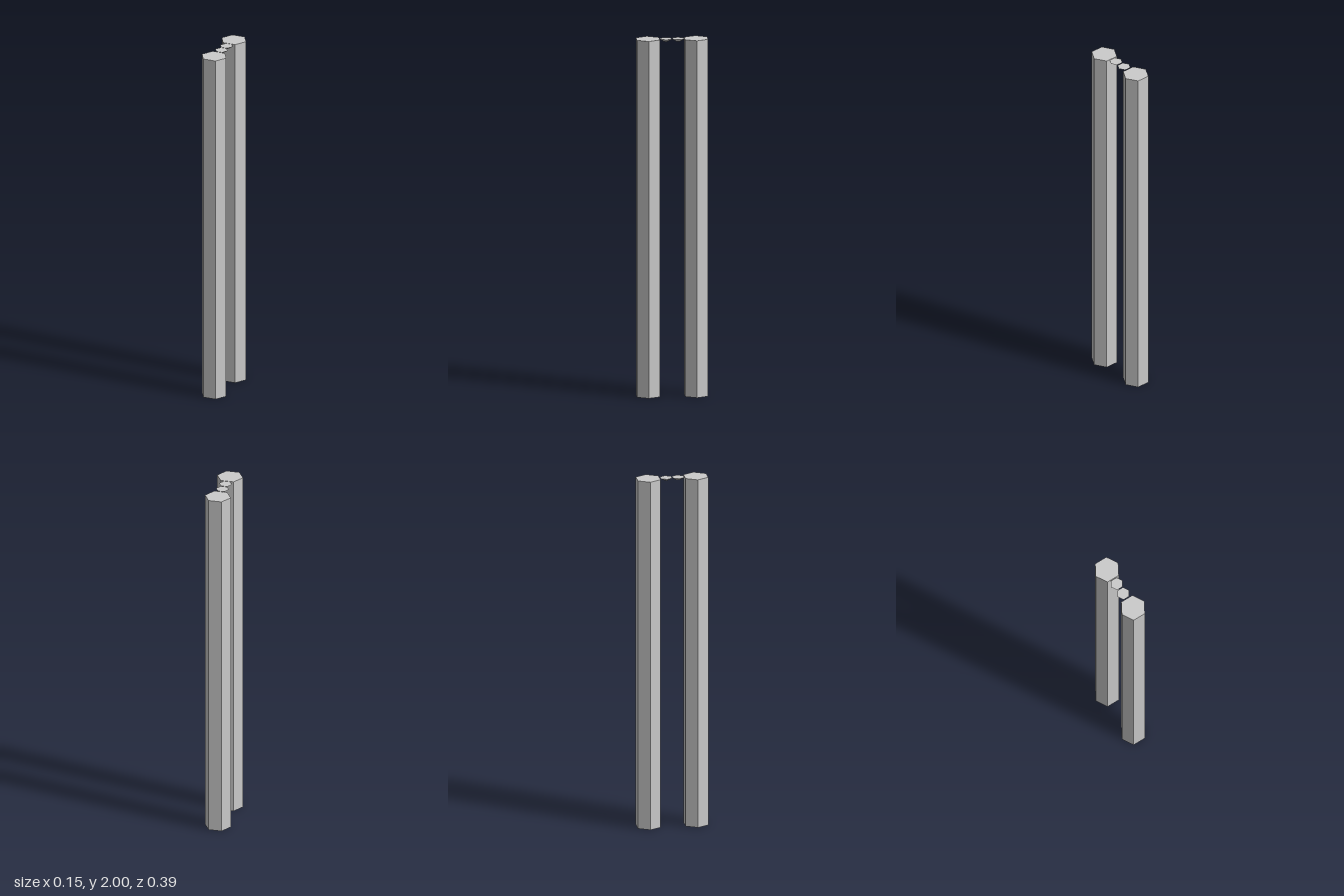
import * as THREE from 'three';

const HEIGHT = 2;

export function createModel() {
  const model = new THREE.Group();
  const material = new THREE.MeshStandardMaterial({ color: 0xcccccc, flatShading: true });

  // Six-sided prism with corners on the x axis, its top flush with the model's top
  function addHexagon(name, topRadius, bottomRadius, height, z) {
    const geometry = new THREE.CylinderGeometry(topRadius, bottomRadius, height, 6, 1, false, Math.PI / 6);
    const mesh = new THREE.Mesh(geometry, material);
    mesh.name = name;
    mesh.position.set(0, HEIGHT - height / 2, z);
    model.add(mesh);
  }

  for (const [side, sign] of [['front', 1], ['back', -1]]) {
    // Tall column
    addHexagon(side + 'Column', 0.073, 0.073, HEIGHT, sign * 0.1325);
    // Small stepping stone between the columns, tapering underneath
    addHexagon(side + 'SteppingStone', 0.0365, 0.01, 0.016, sign * 0.0335);
  }

  return model;
}
